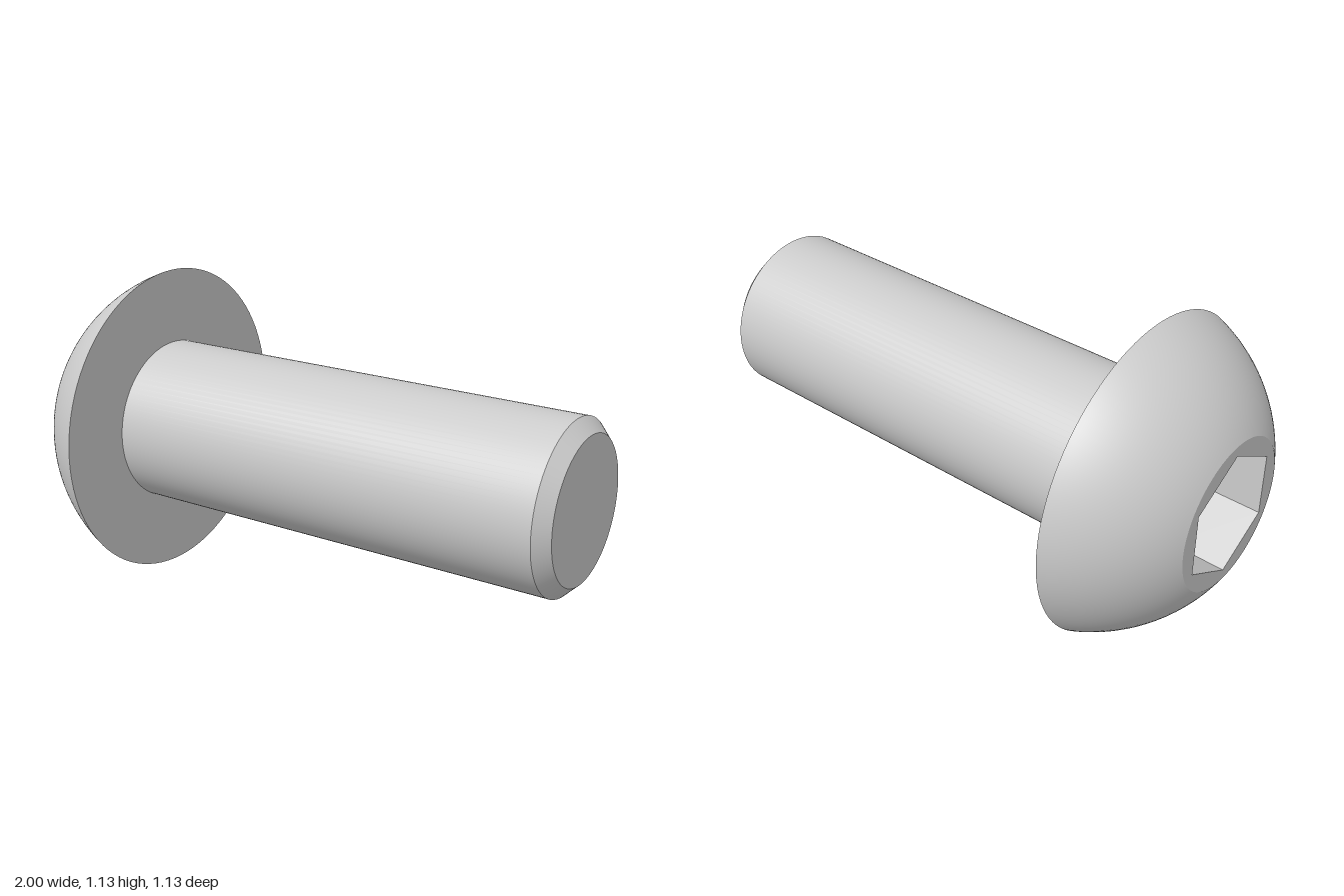
import * as THREE from 'three';

const HEAD_R = 0.567, FACE_R = 0.267, SHANK_R = 0.297, TIP_R = 0.25;
const FACE_X = -1, COLLAR_X = -0.674, CHAMFER_X = 0.953, TIP_X = 1;
const HEX_R = 0.229, FLOOR_X = -0.8;

export function createModel() {
  const group = new THREE.Group();
  group.name = 'buttonHeadScrew';
  const smooth = new THREE.MeshStandardMaterial({ color: 0xcccccc });
  const faceted = new THREE.MeshStandardMaterial({ color: 0xcccccc, flatShading: true });

  const add = (name, geometry, material = smooth) => {
    const mesh = new THREE.Mesh(geometry, material);
    mesh.name = name;
    mesh.position.y = HEAD_R;
    group.add(mesh);
  };

  // Revolve a profile of [x, radius] points around the x axis
  const revolve = (profile, sides = 96) =>
    new THREE.LatheGeometry(profile.map(([x, r]) => new THREE.Vector2(r, x)), sides, Math.PI / 2)
      .rotateZ(-Math.PI / 2);

  // Domed head: a circular arc whose centre lies on the axis
  const centre = (COLLAR_X ** 2 + HEAD_R ** 2 - FACE_X ** 2 - FACE_R ** 2) / (2 * (COLLAR_X - FACE_X));
  const radius = Math.hypot(COLLAR_X - centre, HEAD_R);
  const start = Math.atan2(FACE_R, centre - FACE_X);
  const end = Math.atan2(HEAD_R, centre - COLLAR_X);
  const dome = [];
  for (let i = 0; i <= 24; i++) {
    const a = start + (end - start) * i / 24;
    dome.push([centre - radius * Math.cos(a), radius * Math.sin(a)]);
  }
  add('headDome', revolve(dome));
  add('headUnderside', revolve([[COLLAR_X, HEAD_R], [COLLAR_X, SHANK_R]]));

  // Flat head face with a hexagonal opening
  const face = new THREE.Shape().absarc(0, 0, FACE_R, 0, Math.PI * 2);
  const corners = [];
  for (let i = 0; i < 6; i++) {
    const a = Math.PI / 2 - i * Math.PI / 3;
    corners.push(new THREE.Vector2(HEX_R * Math.cos(a), HEX_R * Math.sin(a)));
  }
  face.holes.push(new THREE.Path(corners));
  add('headFace', new THREE.ShapeGeometry(face, 96).rotateY(-Math.PI / 2).translate(FACE_X, 0, 0));

  // Hex socket: floor and inward-facing walls
  add('hexSocket', revolve([[FLOOR_X, 0], [FLOOR_X, HEX_R], [FACE_X, HEX_R]], 6), faceted);

  // Shank with chamfered tip
  add('shank', revolve([[COLLAR_X, SHANK_R], [CHAMFER_X, SHANK_R]]));
  add('tipChamfer', revolve([[CHAMFER_X, SHANK_R], [TIP_X, TIP_R]]));
  add('tipFace', revolve([[TIP_X, TIP_R], [TIP_X, 0]]));

  return group;
}
